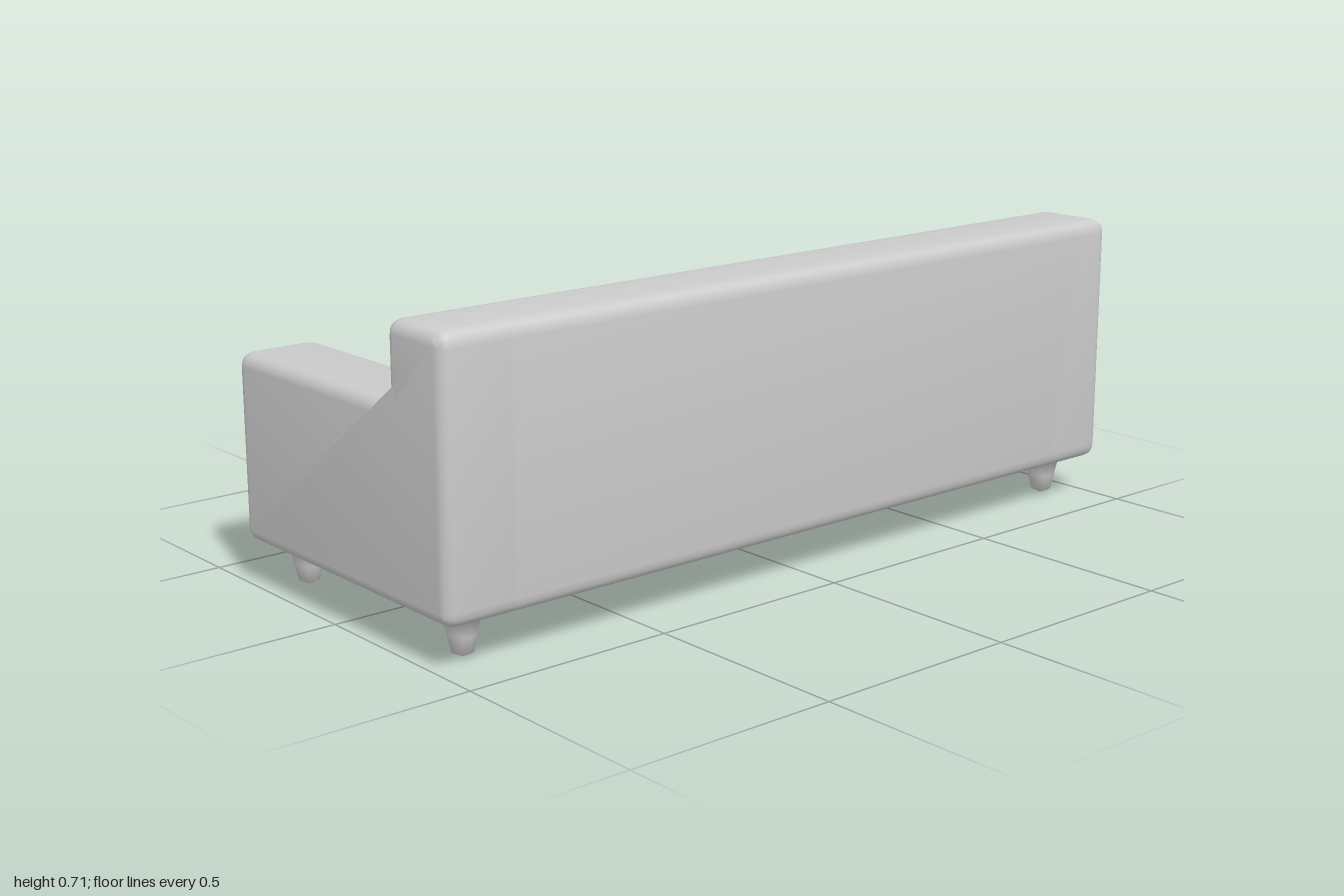
import * as THREE from 'three';
import { mergeVertices, toCreasedNormals } from 'three/addons/utils/BufferGeometryUtils.js';

const fabric = new THREE.MeshStandardMaterial({ color: 0xcccccc });

// Closed outline with every corner softened; points are [-z, y], anticlockwise
function softOutline(points, radius) {
  const shape = new THREE.Shape();
  const v = points.map(p => new THREE.Vector2(...p));
  v.forEach((p, i) => {
    const prev = v[(i + v.length - 1) % v.length];
    const next = v[(i + 1) % v.length];
    const a = p.clone().add(prev.clone().sub(p).setLength(radius));
    const b = p.clone().add(next.clone().sub(p).setLength(radius));
    if (i === 0) shape.moveTo(a.x, a.y);
    else shape.lineTo(a.x, a.y);
    shape.quadraticCurveTo(p.x, p.y, b.x, b.y);
  });
  shape.closePath();
  return shape;
}

// Padded slab: side outline swept from x0 to x1 with rounded ends
function slab(name, points, x0, x1) {
  const bevel = 0.03;
  const g = new THREE.ExtrudeGeometry(softOutline(points, 0.035), {
    depth: x1 - x0 - 2 * bevel, curveSegments: 4,
    bevelThickness: bevel, bevelSize: bevel, bevelOffset: -bevel, bevelSegments: 4,
  });
  g.translate(0, 0, x0 + bevel);
  g.rotateY(Math.PI / 2);
  const mesh = new THREE.Mesh(toCreasedNormals(g, 0.7), fabric);
  mesh.name = name;
  return mesh;
}

// Soft seat cushion: rounded block with a crowned, gently rumpled top
function cushion(name, x0, x1) {
  const size = new THREE.Vector3(x1 - x0, 0.195, 0.655);
  const centre = new THREE.Vector3((x0 + x1) / 2, 0.2875, -0.1025);
  let g = new THREE.BoxGeometry(size.x, size.y, size.z, 48, 14, 44);
  g.deleteAttribute('uv');
  g.deleteAttribute('normal');
  g = mergeVertices(g);
  const pos = g.attributes.position;
  const half = size.clone().multiplyScalar(0.5);
  const p = new THREE.Vector3(), core = new THREE.Vector3();
  for (let i = 0; i < pos.count; i++) {
    p.fromBufferAttribute(pos, i);
    // larger radius along the top front edge, tighter elsewhere
    const r = p.z < 0 && p.y > 0 ? 0.05 : 0.03;
    const inner = half.clone().subScalar(r);
    core.copy(p).clamp(inner.clone().negate(), inner);
    p.sub(core);
    if (p.lengthSq() > 0) p.setLength(Math.min(r, Math.max(Math.abs(p.x), Math.abs(p.y), Math.abs(p.z))));
    p.add(core);
    const u = p.x / half.x, w = p.z / half.z;
    const up = THREE.MathUtils.smoothstep(p.y, -0.02, half.y);
    const mid = Math.max(0, (1 - u * u) * (1 - w * w));
    const wx = p.x + centre.x;
    p.y += up * mid * (0.014 + 0.004 * Math.sin(wx * 14 + p.z * 9) * Math.cos(p.z * 13 - wx * 5));
    // front face leans back towards the top
    p.z += 0.022 * up * THREE.MathUtils.smoothstep(-w, 0.6, 1);
    p.add(centre);
    pos.setXYZ(i, p.x, p.y, p.z);
  }
  g.computeVertexNormals();
  const mesh = new THREE.Mesh(g, fabric);
  mesh.name = name;
  return mesh;
}

export function createModel() {
  const sofa = new THREE.Group();
  sofa.name = 'sofa';

  // Arms, each carrying the end of the backrest
  const armOutline = [[-0.43, 0.1], [0.37, 0.1], [0.37, 0.535], [-0.23, 0.535], [-0.23, 0.71], [-0.43, 0.71]];
  sofa.add(slab('leftArm', armOutline, 0.8, 1), slab('rightArm', armOutline, -1, -0.8));

  // Backrest and seat base run between the arms
  sofa.add(slab('backrest', [[-0.43, 0.1], [-0.23, 0.1], [-0.23, 0.71], [-0.43, 0.71]], -0.93, 0.93));
  sofa.add(slab('seatBase', [[-0.35, 0.1], [0.37, 0.1], [0.37, 0.215], [-0.35, 0.215]], -0.93, 0.93));

  // Seat cushions
  sofa.add(cushion('leftCushion', 0.005, 0.803), cushion('rightCushion', -0.803, -0.005));

  // Tapered feet with a flared top
  const footProfile = [[0, 0], [0.025, 0.012], [0.033, 0.05], [0.041, 0.086], [0.07, 0.1], [0.07, 0.11]]
    .map(([r, y]) => new THREE.Vector2(r, y));
  const footGeometry = new THREE.LatheGeometry(footProfile, 10);
  for (const x of [-0.9, 0.9]) {
    for (const z of [-0.267, 0.332]) {
      const foot = new THREE.Mesh(footGeometry, fabric);
      foot.name = (z > 0 ? 'backrestSide' : 'seatSide') + (x > 0 ? 'LeftFoot' : 'RightFoot');
      foot.position.set(x, 0, z);
      sofa.add(foot);
    }
  }
  return sofa;
}
